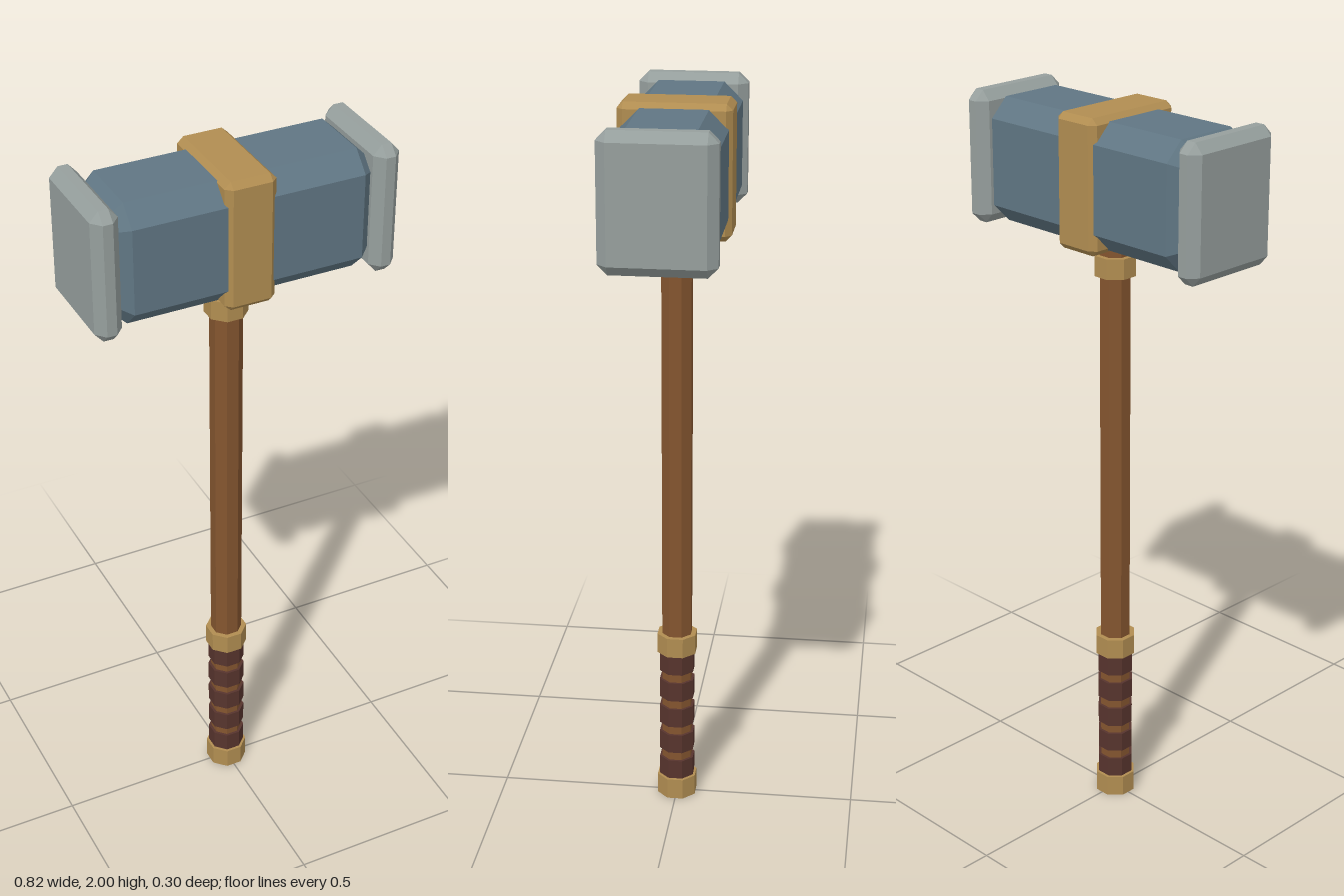
import * as THREE from 'three';
import { ConvexGeometry } from 'three/addons/geometries/ConvexGeometry.js';

const mat = (name, color) => {
  const m = new THREE.MeshStandardMaterial({ color, flatShading: true });
  m.name = name;
  return m;
};

// Box with chamfered edges: half sizes h, chamfer depth c along each axis
function chamferBox(h, c) {
  const points = [];
  for (const sx of [-1, 1]) for (const sy of [-1, 1]) for (const sz of [-1, 1]) {
    for (let axis = 0; axis < 3; axis++) {
      const p = h.map((v, i) => (i === axis ? v : v - c[i]));
      points.push(new THREE.Vector3(p[0] * sx, p[1] * sy, p[2] * sz));
    }
  }
  return new ConvexGeometry(points);
}

export function createModel() {
  const group = new THREE.Group();
  const blueSteel = mat('blue steel', 0x607683);
  const paleSteel = mat('pale steel', 0x969f9d);
  const brass = mat('brass', 0xb18d51);
  const wood = mat('wood', 0x84552f);
  const leather = mat('dark leather', 0x57342d);

  const add = (name, geometry, material, x = 0, y = 0, z = 0) => {
    const mesh = new THREE.Mesh(geometry, material);
    mesh.name = name;
    mesh.position.set(x, y, z);
    group.add(mesh);
    return mesh;
  };

  // Eight-sided rod section with a flat facing front; r is the distance to the flat
  const rod = (name, r, y0, y1, material) => {
    const R = r / Math.cos(Math.PI / 8);
    const g = new THREE.CylinderGeometry(R, R, y1 - y0, 8).rotateY(Math.PI / 8);
    return add(name, g, material, 0, (y0 + y1) / 2);
  };

  // Head: octagonal bar along x with bevelled ends
  const hz = 0.138, hy = 0.165, c = 0.05;
  const outline = new THREE.Shape([
    [hz, hy - c], [hz - c, hy], [c - hz, hy], [-hz, hy - c],
    [-hz, c - hy], [c - hz, -hy], [hz - c, -hy], [hz, c - hy],
  ].map(([a, b]) => new THREE.Vector2(a, b)));
  const head = new THREE.ExtrudeGeometry(outline, {
    depth: 0.62, bevelEnabled: true, bevelSegments: 1,
    bevelThickness: 0.03, bevelSize: 0.028, bevelOffset: -0.028,
  });
  head.translate(0, 0, -0.31).rotateY(Math.PI / 2);
  add('head', head, blueSteel, 0, 1.822);

  // Striking plates at both ends
  const plate = chamferBox([0.036, 0.177, 0.148], [0.023, 0.026, 0.026]);
  add('leftStrikingPlate', plate, paleSteel, 0.374, 1.823);
  add('rightStrikingPlate', plate, paleSteel, -0.374, 1.823);

  // Band around the middle of the head
  add('headBand', chamferBox([0.069, 0.176, 0.147], [0.017, 0.016, 0.016]), brass, 0, 1.824);

  // Handle with collars and pommel
  rod('handle', 0.04, 0.01, 1.67, wood);
  rod('upperCollar', 0.053, 1.56, 1.615, brass);
  rod('lowerCollar', 0.053, 0.45, 0.507, brass);
  rod('pommel', 0.053, 0, 0.06, brass);

  // Leather grip rings
  for (let i = 0; i < 5; i++) {
    const y = 0.09 + i * 0.0825;
    rod('gripWrap' + (i + 1), 0.047, y - 0.028, y + 0.028, leather);
  }
  return group;
}
